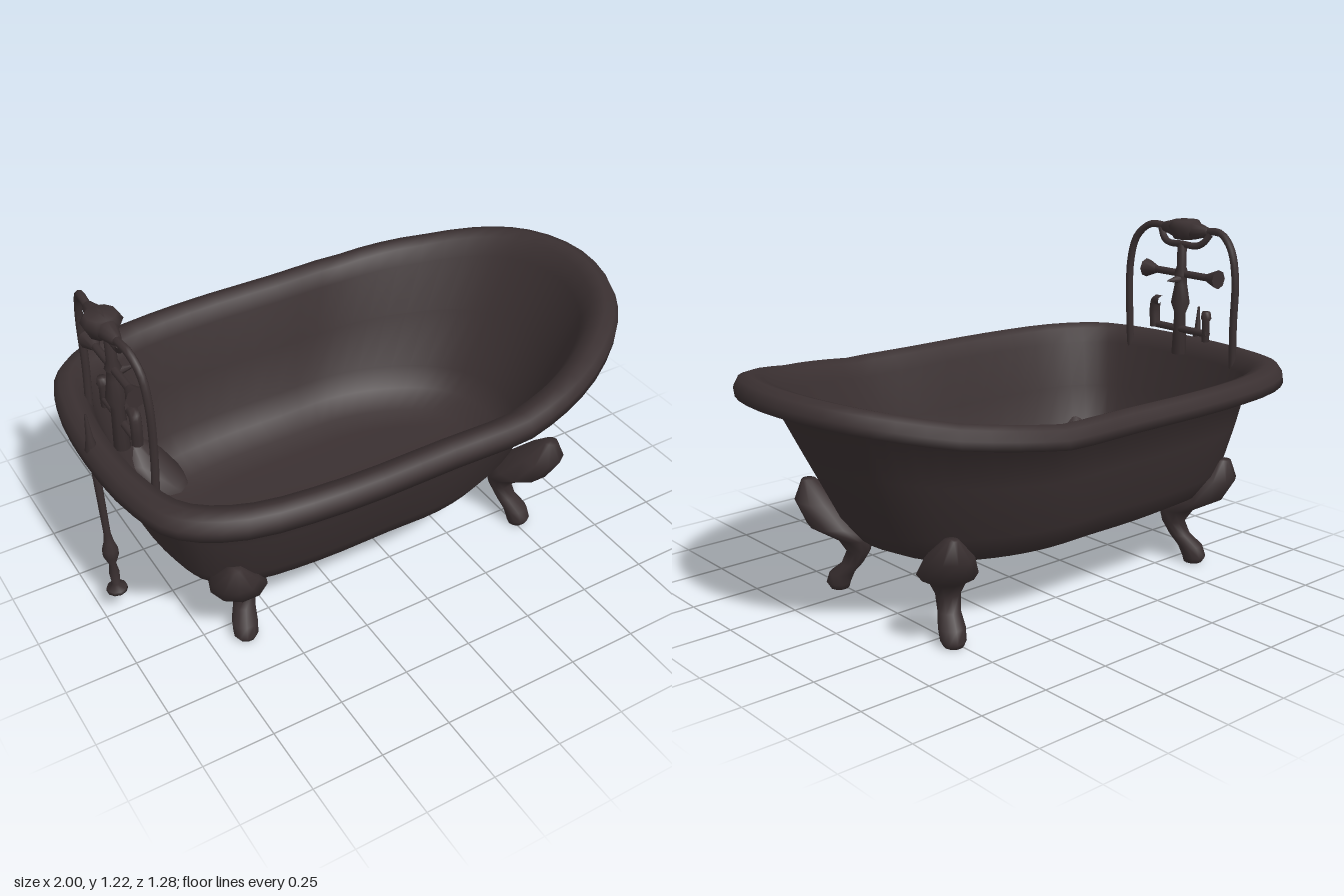
import * as THREE from 'three';

const iron = new THREE.MeshStandardMaterial({ color: 0x3a3031 });
iron.name = 'dark iron';

const V = (x, y, z) => new THREE.Vector3(x, y, z);

function add(parent, name, geometry, x = 0, y = 0, z = 0) {
  const mesh = new THREE.Mesh(geometry, iron);
  mesh.name = name;
  mesh.position.set(x, y, z);
  parent.add(mesh);
  return mesh;
}

// Skin a stack of closed rings, closing both ends with a centre point
function loft(rings) {
  const n = rings[0].length, pos = [], index = [];
  rings.forEach(r => r.forEach(p => pos.push(p.x, p.y, p.z)));
  for (let i = 0; i < rings.length - 1; i++) {
    for (let j = 0; j < n; j++) {
      const a = i * n + j, b = i * n + (j + 1) % n;
      index.push(a, a + n, b, b, a + n, b + n);
    }
  }
  [0, rings.length - 1].forEach(k => {
    const c = rings[k].reduce((s, p) => s.add(p), V(0, 0, 0)).divideScalar(n);
    const ci = pos.length / 3;
    pos.push(c.x, c.y, c.z);
    for (let j = 0; j < n; j++) {
      const a = k * n + j, b = k * n + (j + 1) % n;
      if (k === 0) index.push(ci, a, b);
      else index.push(ci, b, a);
    }
  });
  const g = new THREE.BufferGeometry();
  g.setAttribute('position', new THREE.Float32BufferAttribute(pos, 3));
  g.setIndex(index);
  g.computeVertexNormals();
  return g;
}

// Plan outline of the tub, scaled to -1..1: squarish tap end, round high end
function tubOutline() {
  const half = [[1, 0], [0.94, 0.4], [0.8, 0.67], [0.55, 0.9], [0.3, 1], [0, 1], [-0.4, 1],
    [-0.72, 0.93], [-0.9, 0.76], [-0.97, 0.5], [-1, 0]];
  const mirrored = half.slice(1, -1).reverse().map(([x, z]) => [x, -z]);
  const pts = [...half, ...mirrored].map(([x, z]) => V(x, 0, z));
  return new THREE.CatmullRomCurve3(pts, true).getPoints(60).slice(0, 60);
}

// Extra rim height toward the sloping back rest
function rise(u) {
  if (u < 0.3) return 0;
  return u < 0.65 ? (u - 0.3) * 0.12 : 0.042 + (u - 0.65) * 0.21;
}

function tubGeometry() {
  const outline = tubOutline();
  // min x, max x, half width, height, share of the rise: up the outside, over the rim, down the inside
  const profile = [
    [-0.58, 0.42, 0.20, 0.20, 0], [-0.70, 0.50, 0.30, 0.22, 0], [-0.79, 0.60, 0.385, 0.27, 0],
    [-0.83, 0.66, 0.43, 0.345, 0], [-0.87, 0.78, 0.48, 0.52, 0.5], [-0.905, 0.885, 0.52, 0.69, 0.8],
    [-0.96, 0.95, 0.59, 0.68, 0.95], [-1, 0.995, 0.633, 0.685, 1], [-0.998, 1, 0.63, 0.715, 1],
    [-0.98, 0.985, 0.613, 0.745, 1], [-0.945, 0.95, 0.58, 0.755, 1], [-0.91, 0.905, 0.54, 0.74, 1],
    [-0.89, 0.87, 0.51, 0.69, 0.85], [-0.86, 0.765, 0.47, 0.52, 0.5], [-0.815, 0.645, 0.418, 0.35, 0],
    [-0.775, 0.585, 0.37, 0.28, 0], [-0.69, 0.49, 0.29, 0.235, 0], [-0.57, 0.41, 0.2, 0.22, 0],
  ];
  return loft(profile.map(([x0, x1, hz, y, k]) => outline.map(p =>
    V((x0 + x1) / 2 + p.x * (x1 - x0) / 2, y + k * rise(p.x), p.z * hz))));
}

// One claw foot: x, y, z, radius from the toe up to the shoulder on the tub
function legGeometry() {
  const sections = [
    [-0.625, 0, 0.325, 0.034], [-0.628, 0.02, 0.327, 0.043], [-0.622, 0.06, 0.312, 0.045],
    [-0.603, 0.10, 0.275, 0.038], [-0.59, 0.15, 0.253, 0.042], [-0.597, 0.20, 0.262, 0.065],
    [-0.64, 0.25, 0.315, 0.1], [-0.675, 0.33, 0.372, 0.08], [-0.69, 0.40, 0.40, 0.025],
  ];
  return loft(sections.map(([x, y, z, r]) => Array.from({ length: 10 }, (_, i) => {
    const a = i / 10 * Math.PI * 2;
    return V(x + Math.cos(a) * r, y, z + Math.sin(a) * r);
  })));
}

function pipe(points, radius) {
  const path = new THREE.CatmullRomCurve3(points.map(p => V(...p)));
  return new THREE.TubeGeometry(path, points.length * 4, radius, 8);
}

function lathe(points, sides = 10) {
  return new THREE.LatheGeometry(points.map(p => new THREE.Vector2(...p)), sides);
}

export function createModel() {
  const model = new THREE.Group();
  model.name = 'clawfoot bathtub';

  add(model, 'tub', tubGeometry());

  // Four mirrored legs
  const leg = legGeometry();
  for (const sx of [1, -1]) {
    for (const sz of [1, -1]) {
      add(model, 'clawLeg', leg, sx > 0 ? 0 : -0.11).scale.set(sx, 1, sz);
    }
  }

  // Tap fittings at the low end
  const taps = new THREE.Group();
  taps.name = 'taps';
  model.add(taps);

  add(taps, 'column', lathe([[0, 0.7], [0.028, 0.7], [0.022, 0.86], [0.036, 0.9], [0.024, 0.97],
    [0.022, 1.0], [0.028, 1.01], [0.018, 1.04], [0.018, 1.12], [0, 1.14]]), -0.868);

  for (const s of [1, -1]) {
    // Arched side pipe curving in to the hand shower
    add(taps, 'archPipe', pipe([[-0.875, 0.66, s * 0.265], [-0.866, 0.85, s * 0.268],
      [-0.866, 1.03, s * 0.268], [-0.87, 1.13, s * 0.24], [-0.88, 1.18, s * 0.185],
      [-0.885, 1.185, s * 0.14], [-0.885, 1.175, s * 0.08]], 0.014));
    add(taps, 'cradleArm', pipe([[-0.87, 1.125, 0], [-0.87, 1.125, s * 0.07],
      [-0.875, 1.14, s * 0.1], [-0.885, 1.175, s * 0.125]], 0.013));
    // Flared cross handle
    add(taps, 'handle', new THREE.CylinderGeometry(0.036, 0.015, 0.055, 8),
      -0.87, 1.012, s * 0.157).rotation.x = s * Math.PI / 2;
  }
  add(taps, 'handleBar', new THREE.CylinderGeometry(0.014, 0.014, 0.28, 8),
    -0.87, 1.012, 0).rotation.x = Math.PI / 2;
  add(taps, 'frontHandle', new THREE.ConeGeometry(0.022, 0.09, 8),
    -0.83, 0.992, 0).rotation.z = -Math.PI / 2;

  // Hand shower resting on the cradle
  add(taps, 'handShower', lathe([[0, -0.13], [0.018, -0.11], [0.034, -0.05], [0.042, 0],
    [0.034, 0.05], [0.018, 0.11], [0, 0.13]]), -0.885, 1.18, 0).rotation.x = Math.PI / 2;
  add(taps, 'showerFace', lathe([[0, -0.035], [0.045, -0.035], [0.066, 0.01], [0.05, 0.035], [0, 0.04]]),
    -0.885, 1.18, 0);

  // Low filler bar with a spout and a knob
  add(taps, 'fillerBar', new THREE.CylinderGeometry(0.014, 0.014, 0.28, 8),
    -0.86, 0.8, -0.01).rotation.x = Math.PI / 2;
  add(taps, 'spout', pipe([[-0.86, 0.79, 0.12], [-0.86, 0.86, 0.125], [-0.858, 0.895, 0.115],
    [-0.855, 0.895, 0.085]], 0.02));
  add(taps, 'knob', lathe([[0, 0.77], [0.014, 0.77], [0.014, 0.85], [0.02, 0.86], [0.016, 0.885], [0, 0.885]]),
    -0.86, 0, -0.14);

  // Waste pipe passing through the rim
  add(model, 'wastePipe', lathe([[0, 0.11], [0.037, 0.11], [0.035, 0.122], [0.014, 0.14], [0.018, 0.19],
    [0.012, 0.23], [0.027, 0.27], [0.027, 0.3], [0.018, 0.33], [0.012, 0.37], [0.014, 0.7], [0.022, 0.73],
    [0.012, 0.78], [0.004, 0.87], [0, 0.87]]), -0.946).rotation.z = 0.034;

  return model;
}
